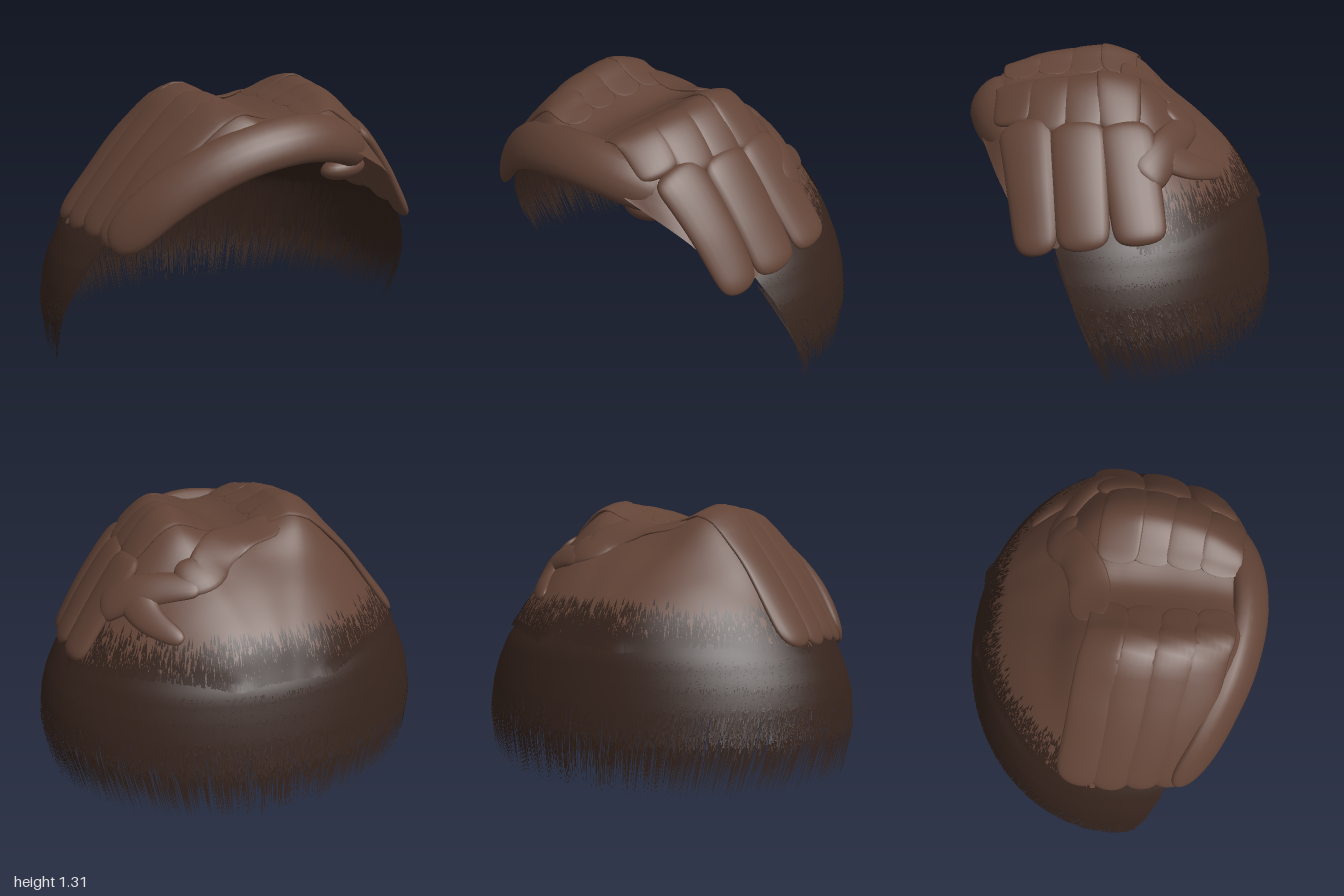
import * as THREE from 'three';

const V = (x, y, z) => new THREE.Vector3(x, y, z);
const { lerp, clamp } = THREE.MathUtils;

let seed = 7;
const rnd = () => (seed = (seed * 16807) % 2147483647) / 2147483647;

// Linear lookup in a table of [key, a, b, ...] rows
function lookup(table, key) {
  let i = 0;
  while (i < table.length - 2 && key > table[i + 1][0]) i++;
  const a = table[i], b = table[i + 1], f = clamp((key - a[0]) / (b[0] - a[0]), 0, 1);
  return { at: (i + f) / (table.length - 1), row: a.map((v, k) => lerp(v, b[k], f)) };
}

// Crown cross-sections: z, centre y, ridge x/y, shoulder x/y, side x/y, rim x/y
const SECTIONS = [
  [-.645, .70, .08, .70, .13, .695, .18, .69, .22, .68],
  [-.55, .845, .14, .835, .22, .82, .31, .78, .40, .71],
  [-.40, .99, .22, .975, .37, .92, .50, .83, .62, .71],
  [-.25, 1.10, .28, 1.09, .47, .99, .63, .85, .765, .69],
  [-.10, 1.18, .32, 1.23, .54, 1.06, .70, .86, .85, .66],
  [.05, 1.18, .33, 1.29, .55, 1.08, .71, .87, .86, .65],
  [.22, 1.18, .33, 1.28, .54, 1.08, .70, .87, .84, .65],
  [.42, 1.18, .30, 1.25, .50, 1.07, .66, .86, .79, .64],
  [.58, 1.16, .23, 1.20, .39, 1.09, .50, .97, .60, .85],
  [.68, 1.10, .13, 1.12, .21, 1.09, .28, 1.05, .34, 1.00],
];
const sectionCurves = SECTIONS.map(([z, yc, xr, yr, x2, y2, x3, y3, xe, ye]) => {
  const half = [[xr / 2, (yc + yr) / 2], [xr, yr], [x2, y2], [x3, y3], [xe, ye]];
  const left = half.map(([x, y]) => V(x, y, z));
  const right = half.map(([x, y]) => V(-x, y, z)).reverse();
  return new THREE.CatmullRomCurve3([...right, V(0, yc, z), ...left]);
});

// Point on the crown: u runs from -1 (right rim) to 1 (left rim)
function crownPoint(u, z) {
  if (Math.abs(u) > 1) {
    const s = Math.sign(u), rim = crownPoint(s, z);
    return rim.clone().addScaledVector(rim.clone().sub(crownPoint(s * .9, z)), (Math.abs(u) - 1) / .1);
  }
  const column = new THREE.CatmullRomCurve3(sectionCurves.map(c => c.getPoint((u + 1) / 2)));
  return column.getPoint(lookup(SECTIONS, z).at);
}
function crownNormal(u, z) {
  const du = crownPoint(u + .02, z).sub(crownPoint(u - .02, z));
  const dz = crownPoint(u, Math.min(z + .015, .68)).sub(crownPoint(u, Math.max(z - .015, -.645)));
  return dz.cross(du).normalize();
}

// Cropped shell: y, half width, back z, front z
const SHELL = [
  [0, .97, -.745, .10], [.25, 1, -.76, .19], [.4, .98, -.735, .25], [.5, .95, -.71, .29],
  [.62, .89, -.675, .34], [.75, .79, -.6, .36], [.9, .65, -.475, .36],
];
// u runs from the left front edge, round the back, to the right front edge
function shellPoint(u, y) {
  const [, rx, back, front] = lookup(SHELL, y).row, zc = .07, rz = zc - back;
  const start = -Math.asin(clamp((front - zc) / rz, 0, .9));
  const a = start + (Math.PI - 2 * start) * u;
  return V(rx * Math.cos(a), y, zc - rz * Math.sin(a));
}

function build(points, index) {
  const g = new THREE.BufferGeometry().setFromPoints(points);
  if (index) g.setIndex(index);
  g.computeVertexNormals();
  return g;
}

// Grid surface from f(s, t)
function grid(f, ns, nt) {
  const pts = [], idx = [], w = ns + 1;
  for (let j = 0; j <= nt; j++) for (let i = 0; i <= ns; i++) pts.push(f(i / ns, j / nt));
  for (let j = 0; j < nt; j++) for (let i = 0; i < ns; i++) {
    const a = j * w + i;
    idx.push(a, a + w, a + 1, a + 1, a + w, a + w + 1);
  }
  return build(pts, idx);
}

// Flattened, blunt lock swept along a path; half widths w0, w1 and half thicknesses h0, h1
function sweep(path, normalAt, w0, w1, h0, h1) {
  const N = 36, M = 18, pts = [], idx = [];
  for (let i = 0; i <= N; i++) {
    const t = (1 - Math.cos(Math.PI * i / N)) / 2;
    const p = path.getPoint(t), T = path.getTangent(t);
    const n = normalAt(t, p);
    n.addScaledVector(T, -n.dot(T)).normalize();
    const b = n.clone().cross(T);
    const round = Math.sqrt(Math.max(1e-6, 1 - Math.pow(Math.abs(2 * t - 1), 11)));
    const w = lerp(w0, w1, t) * round, h = lerp(h0, h1, t) * round;
    for (let j = 0; j < M; j++) {
      const a = j / M * Math.PI * 2;
      pts.push(p.clone().addScaledVector(b, w * Math.cos(a)).addScaledVector(n, h * Math.sin(a)));
    }
  }
  for (let i = 0; i < N; i++) for (let j = 0; j < M; j++) {
    const k = (j + 1) % M, a = i * M + j, b = i * M + k;
    idx.push(a, b, a + M, b, b + M, a + M);
  }
  return build(pts, idx);
}
// Lock lying on the crown, given as [u, z] stops
function crownLock(stops, w0, w1, h0, h1) {
  const uz = new THREE.CatmullRomCurve3(stops.map(([u, z]) => V(u, z, 0)));
  const path = new THREE.CatmullRomCurve3(
    uz.getPoints(10).map(q => crownPoint(q.x, q.y)));
  return sweep(path, t => { const q = uz.getPoint(t); return crownNormal(q.x, q.y); }, w0, w1, h0, h1);
}

export function createModel() {
  const group = new THREE.Group();
  const brown = new THREE.MeshStandardMaterial({ color: 0x624336, side: THREE.DoubleSide });
  brown.name = 'brown hair';
  const dark = new THREE.MeshStandardMaterial({ color: 0x35231c, side: THREE.DoubleSide });
  dark.name = 'dark cropped hair';
  const add = (name, geometry, material = brown) => {
    const m = new THREE.Mesh(geometry, material);
    m.name = name;
    group.add(m);
    return m;
  };

  // Crown with its central hollow
  add('crown', grid((s, t) => crownPoint(s * 2 - 1, lerp(-.645, .68, t)), 64, 56));

  // Rolled fringe flattening as it sweeps down to the right temple
  const fringe = new THREE.CatmullRomCurve3([
    V(.44, .98, .51), V(.24, 1.065, .62), V(0, 1.095, .67), V(-.3, 1.035, .64), V(-.58, .87, .54), V(-.81, .63, .41)]);
  add('fringe', sweep(fringe, (t, p) => p.clone().sub(V(0, .6, 0)), .12, .12, .09, .045));
  const curl = add('fringeCurl', new THREE.SphereGeometry(1, 20, 14));
  curl.scale.set(.12, .055, .07);
  curl.position.set(.34, .905, .55);
  curl.rotation.z = .1;

  // Locks swept from the hollow over the right side
  [[.47, .34], [.31, .21], [.14, .06], [-.02, -.1]].forEach(([top, tip]) =>
    add('rightLock', crownLock(
      [[-.12, top + .03], [-.3, top + .03], [-.55, top - .01], [-.78, (top + tip) / 2], [-1, tip]], .09, .115, .004, .036)));

  // Short upper locks from the hollow to the left ridge
  [.52, .36, .2, .04].forEach(z =>
    add('leftUpperLock', crownLock([[.12, z - .02], [.3, z - .01], [.46, z], [.6, z + .01]], .1, .105, .003, .026)));

  // Hanging locks on the left side
  [[.475, .42], [.235, .215], [.02, -.04]].forEach(([top, tip], i) =>
    add('leftSideLock', crownLock(
      [[.56, top], [.78, (top + tip) / 2], [1.04 - i * .02, tip]], .132, [.1, .12, .12][i], .036, .036)));

  // Curling lock and its trailing end behind the left side
  add('leftCurl', crownLock([[.42, -.31], [.54, -.24], [.67, -.14], [.77, -.04]], .06, .11, .02, .045));
  add('leftCurlTail', crownLock([[.64, -.14], [.7, -.28], [.74, -.44]], .11, .04, .035, .018));

  // Lock folding across the back of the crown
  add('backTopLock', crownLock([[-.25, -.08], [0, -.1], [.2, -.18], [.36, -.26], [.5, -.24]], .1, .1, .008, .028));

  // Cropped shell around the back and sides
  add('croppedShell', grid((s, t) => shellPoint(s, lerp(.91, .38, t)), 72, 16), dark);

  // Tapering strands that thin out below the shell
  const strands = [];
  for (let i = 0; i < 3600; i++) {
    const u = -.005 + 1.01 * rnd(), y0 = .4 + .22 * rnd(), y1 = .42 * Math.pow(rnd(), 1.1);
    const d = .0007, ym = lerp(y0, y1, .6), lean = (rnd() - .5) * .008;
    const a = shellPoint(u - d, y0), b = shellPoint(u + d, y0);
    const c = shellPoint(u + lean / 2 - d, ym), e = shellPoint(u + lean / 2 + d, ym);
    const tip = shellPoint(u + lean, y1);
    strands.push(a, c, b, b, c, e, c, tip, e);
  }
  add('lowerStrands', build(strands), dark);

  // Strands that fade up over the lower edge of the crown
  const fade = [];
  for (let i = 0; i < 14000; i++) {
    const u = rnd() * 2 - 1, z = lerp(-.645, -.02, rnd());
    const p = crownPoint(u, z);
    if (rnd() < (p.y - .72) / .17) continue;
    const n = crownNormal(u, z);
    const down = V(0, -1, 0).addScaledVector(n, n.y).normalize();
    const side = n.clone().cross(down).multiplyScalar(.005);
    p.addScaledVector(n, .008);
    const end = p.clone().addScaledVector(down, .045).addScaledVector(n, -.006);
    fade.push(p, end.clone().sub(side), end.clone().add(side));
  }
  add('upperStrands', build(fade), dark);

  return group;
}
